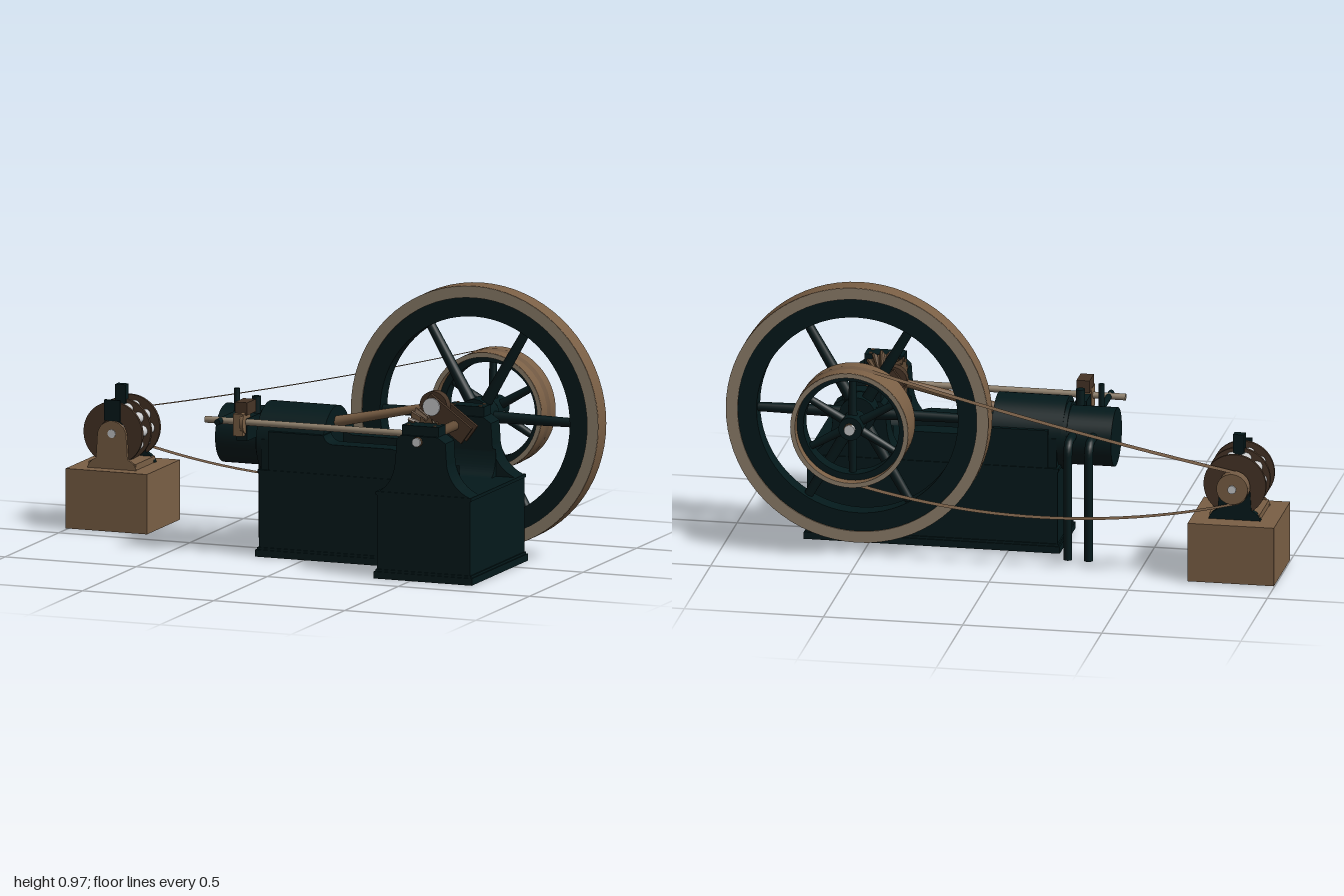
import * as THREE from 'three';

const mat = (name, color, extra = {}) => Object.assign(new THREE.MeshStandardMaterial({ color, ...extra }), { name });

export function createModel() {
  const root = new THREE.Group();
  root.name = 'stationaryEngine';
  const green = mat('dark green paint', 0x04191b);
  const brown = mat('bronze brown', 0x7a5f45);
  const tan = mat('worn tan', 0x8f806c);
  const dark = mat('dark brown iron', 0x463426);
  const silver = mat('polished steel', 0xc9cacb);
  const gearMat = mat('gear bronze', 0x604a35, { flatShading: true });
  const beltMat = mat('belt leather', 0x705842, { side: THREE.DoubleSide });

  const add = (name, geo, m, parent = root) => {
    const mesh = new THREE.Mesh(geo, m);
    mesh.name = name;
    parent.add(mesh);
    return mesh;
  };
  const group = (name, x, y, z) => {
    const g = new THREE.Group();
    g.name = name;
    g.position.set(x, y, z);
    root.add(g);
    return g;
  };
  // box given by its two extreme corners
  const box = (name, m, x0, x1, y0, y1, z0, z1, parent = root) => {
    const b = add(name, new THREE.BoxGeometry(x1 - x0, y1 - y0, z1 - z0), m, parent);
    b.position.set((x0 + x1) / 2, (y0 + y1) / 2, (z0 + z1) / 2);
    return b;
  };
  // cylinder running from point p to point q
  const rod = (name, m, p, q, r0, r1 = r0, parent = root, seg = 32) => {
    const a = new THREE.Vector3(...p), b = new THREE.Vector3(...q), d = b.clone().sub(a);
    const c = add(name, new THREE.CylinderGeometry(r1, r0, d.length(), seg), m, parent);
    c.position.copy(a).add(b).multiplyScalar(0.5);
    c.quaternion.setFromUnitVectors(new THREE.Vector3(0, 1, 0), d.normalize());
    return c;
  };
  // ring around z with a closed rectangular section
  const ring = (name, m, r0, r1, z0, z1, parent) => {
    const pts = [[r0, z0], [r1, z0], [r1, z1], [r0, z1], [r0, z0]].map(p => new THREE.Vector2(...p));
    const g = new THREE.Group();
    g.name = name;
    parent.add(g);
    for (let i = 0; i < 4; i++)
      add(name + 'Face', new THREE.LatheGeometry([pts[i], pts[i + 1]], 72).rotateX(Math.PI / 2), m, g);
  };
  const plate = (name, m, shape, z0, z1, parent = root) => {
    const p = add(name, new THREE.ExtrudeGeometry(shape, { depth: z1 - z0, bevelEnabled: false, curveSegments: 16 }), m, parent);
    p.position.z = z0;
    return p;
  };

  // L-shaped base: plinth, body and top lip
  const slab = (name, g, y0, y1) => {
    const s = new THREE.Shape([[-0.175 - g, 0.125 + g], [-0.175 - g, -0.15 - g], [0.37 - g, -0.15 - g],
      [0.37 - g, -0.38 - g], [0.725 + g, -0.38 - g], [0.725 + g, 0.125 + g]].map(p => new THREE.Vector2(...p)));
    const geo = new THREE.ExtrudeGeometry(s, { depth: y1 - y0, bevelEnabled: false }).rotateX(-Math.PI / 2);
    add(name, geo, green).position.y = y0;
  };
  slab('basePlinth', 0.01, 0, 0.025);
  slab('basePlinthStep', 0.005, 0.025, 0.033);
  slab('baseBody', 0, 0.033, 0.3);
  slab('baseLip', 0.004, 0.3, 0.312);

  // side rails of the engine bed
  for (const [z0, z1] of [[-0.125, -0.05], [0.075, 0.15]]) {
    const s = new THREE.Shape();
    s.moveTo(-0.14, 0.3);
    s.lineTo(-0.14, 0.45);
    s.lineTo(0.07, 0.45);
    s.quadraticCurveTo(0.08, 0.42, 0.11, 0.42);
    s.lineTo(0.33, 0.42);
    s.quadraticCurveTo(0.41, 0.41, 0.42, 0.3);
    plate('bedRail', green, s, z0, z1);
  }
  box('bedTrough', green, -0.14, 0.3, 0.3, 0.34, -0.06, 0.08);

  // crankshaft pedestals with bearing caps and inner fillets
  for (const [z0, z1, inner, dir] of [[0.297, 0.38, 0.298, -1], [-0.125, -0.045, -0.046, 1]]) {
    const s = new THREE.Shape();
    s.moveTo(0.37, 0.31);
    s.quadraticCurveTo(0.435, 0.34, 0.44, 0.44);
    s.lineTo(0.445, 0.505);
    s.lineTo(0.46, 0.52);
    s.lineTo(0.6, 0.52);
    s.lineTo(0.63, 0.5);
    s.lineTo(0.635, 0.42);
    s.quadraticCurveTo(0.65, 0.34, 0.725, 0.31);
    plate('bearingPedestal', green, s, z0, z1);
    const f = new THREE.Shape();
    f.moveTo(inner, 0.31);
    f.lineTo(inner + dir * 0.05, 0.31);
    f.quadraticCurveTo(inner + dir * 0.008, 0.325, inner, 0.41);
    const fillet = new THREE.ExtrudeGeometry(f, { depth: 0.22, bevelEnabled: false }).rotateY(-Math.PI / 2);
    add('pedestalFillet', fillet, green).position.x = 0.65;
    box('bearingCap', green, 0.46, 0.6, 0.515, 0.555, z0 + 0.006, z1 - 0.01);
    for (const x of [0.48, 0.58]) for (const z of [z0 + 0.02, z1 - 0.024])
      rod('capBolt', brown, [x, 0.55, z], [x, 0.558, z], 0.007, 0.007, root, 6);
  }

  // cylinder and head
  rod('cylinderBarrel', green, [-0.19, 0.405, 0.012], [0.065, 0.405, 0.012], 0.13, 0.13, root, 48);
  rod('cylinderHead', green, [-0.365, 0.405, -0.01], [-0.19, 0.405, -0.01], 0.105, 0.105, root, 48);
  rod('headFlange', green, [-0.205, 0.405, -0.005], [-0.185, 0.405, -0.005], 0.115, 0.115, root, 48);
  box('barrelSaddle', green, -0.17, 0.06, 0.3, 0.42, -0.12, 0.145);

  // intake and exhaust pipes
  for (const x of [-0.3, -0.225]) {
    const path = new THREE.CurvePath();
    const v = (y, z) => new THREE.Vector3(x, y, z);
    path.add(new THREE.LineCurve3(v(0.43, -0.08), v(0.43, -0.15)));
    path.add(new THREE.QuadraticBezierCurve3(v(0.43, -0.15), v(0.43, -0.193), v(0.385, -0.193)));
    path.add(new THREE.LineCurve3(v(0.385, -0.193), v(0, -0.193)));
    add('pipe', new THREE.TubeGeometry(path, 48, 0.016, 16), green);
  }

  // valve gear on the head
  rod('valveStem', green, [-0.3, 0.46, 0.05], [-0.3, 0.578, 0.05], 0.011);
  rod('valveLever', green, [-0.3, 0.487, 0.03], [-0.3, 0.487, 0.235], 0.011);
  rod('valveSpring', green, [-0.225, 0.46, 0.05], [-0.225, 0.555, 0.05], 0.016);
  box('sideShaftBracket', green, -0.24, -0.2, 0.42, 0.5, 0.08, 0.2);
  box('sideShaftBearing', brown, -0.243, -0.207, 0.44, 0.52, 0.165, 0.225);
  box('rockerBlock', dark, -0.242, -0.195, 0.515, 0.56, 0.13, 0.21);
  rod('camDisc', brown, [-0.215, 0.487, 0.195], [-0.203, 0.487, 0.195], 0.04);

  // side shaft, crankshaft and bevel gears
  rod('sideShaft', tan, [-0.36, 0.487, 0.195], [0.47, 0.49, 0.195], 0.012);
  rod('crankshaft', gearMat, [0.525, 0.5, 0.39], [0.525, 0.5, 0.04], 0.018);
  rod('crankshaftRear', gearMat, [0.525, 0.5, -0.01], [0.525, 0.5, -0.39], 0.018);
  rod('shaftEnd', silver, [0.525, 0.5, 0.385], [0.525, 0.5, 0.396], 0.016);
  const bevelGear = (name, p, q, r0, r1, teeth) => {
    const gear = rod(name, gearMat, p, q, r0, r1, root, teeth * 4);
    const pos = gear.geometry.attributes.position;
    for (let i = 0; i < pos.count; i++) {
      const k = Math.round((Math.atan2(pos.getZ(i), pos.getX(i)) / (2 * Math.PI) + 1) * teeth * 4) % 4;
      const f = k < 2 ? 1 : 0.82;
      pos.setXYZ(i, pos.getX(i) * f, pos.getY(i), pos.getZ(i) * f);
    }
    gear.geometry.computeVertexNormals();
  };
  bevelGear('sideShaftGear', [0.44, 0.485, 0.195], [0.485, 0.485, 0.195], 0.1, 0.07, 16);
  bevelGear('crankshaftGear', [0.525, 0.5, 0.297], [0.525, 0.5, 0.25], 0.075, 0.035, 14);

  // crank webs, pin and connecting rod
  for (const z of [-0.014, 0.036]) {
    const web = box('crankWeb', dark, -0.06, 0.135, -0.035, 0.035, -0.007, 0.007);
    web.position.set(0.493, 0.522, z);
    web.rotation.z = Math.atan2(0.062, -0.085);
  }
  rod('crankPin', silver, [0.44, 0.562, -0.022], [0.44, 0.562, 0.044], 0.022);
  rod('rodBigEnd', dark, [0.44, 0.562, -0.006], [0.44, 0.562, 0.028], 0.052);
  rod('rodBigEndCap', silver, [0.44, 0.562, 0.043], [0.44, 0.562, 0.049], 0.032);
  rod('connectingRod', brown, [0.05, 0.475, 0.015], [0.42, 0.556, 0.015], 0.02, 0.014);

  // spoked wheel around z
  const spokes = (parent, r, thick, turn) => {
    for (let i = 0; i < 6; i++) {
      const a = turn + i * Math.PI / 3, c = Math.cos(a), s = Math.sin(a);
      rod('spoke', green, [c * 0.03, s * 0.03, 0], [c * r, s * r, 0], thick, thick * 0.75, parent, 16);
    }
  };
  const fly = group('flywheel', 0.527, 0.497, -0.182);
  ring('flywheelTread', brown, 0.43, 0.472, -0.037, 0.037, fly);
  for (const z of [-0.039, 0.037]) ring('flywheelEdge', tan, 0.43, 0.471, z, z + 0.002, fly);
  ring('flywheelRim', green, 0.362, 0.431, -0.034, 0.034, fly);
  spokes(fly, 0.37, 0.022, 0);
  rod('flywheelHub', green, [0, 0, -0.037], [0, 0, 0.037], 0.065, 0.065, fly);

  // belt pulley
  const pulley = group('beltPulley', 0.522, 0.497, -0.33);
  ring('pulleyTread', brown, 0.195, 0.212, -0.065, 0.065, pulley);
  for (const z of [-0.067, 0.065]) ring('pulleyEdge', tan, 0.195, 0.211, z, z + 0.002, pulley);
  ring('pulleyRim', green, 0.172, 0.196, -0.03, 0.03, pulley);
  spokes(pulley, 0.18, 0.017, Math.PI / 6);
  rod('pulleyHub', green, [0, 0, -0.05], [0, 0, 0.05], 0.042, 0.042, pulley);
  rod('pulleyHubCap', silver, [0, 0, -0.066], [0, 0, -0.05], 0.019, 0.019, pulley);

  // drive belt: sagging ribbon between the two pulleys
  const pts = [];
  const arc = (x, y, r, a0, a1) => {
    for (let i = 0; i <= 16; i++) {
      const a = a0 + (a1 - a0) * i / 16;
      pts.push([x + r * Math.cos(a), y + r * Math.sin(a)]);
    }
  };
  const sag = (x0, y0, x1, y1, d) => {
    for (let i = 1; i < 24; i++) {
      const t = i / 24;
      pts.push([x0 + (x1 - x0) * t, y0 + (y1 - y0) * t - 4 * d * t * (1 - t)]);
    }
  };
  arc(0.522, 0.497, 0.2135, -1.5, 1.78);
  sag(0.478, 0.706, -0.858, 0.402, 0.014);
  arc(-0.845, 0.345, 0.058, 1.8, 4.6);
  sag(-0.852, 0.287, 0.537, 0.284, 0.09);
  pts.push(pts[0]);
  const verts = [], idx = [];
  pts.forEach(([x, y], i) => {
    verts.push(x, y, -0.347, x, y, -0.313);
    if (i) idx.push(2 * i - 2, 2 * i, 2 * i - 1, 2 * i - 1, 2 * i, 2 * i + 1);
  });
  const ribbon = new THREE.BufferGeometry();
  ribbon.setAttribute('position', new THREE.Float32BufferAttribute(verts, 3));
  ribbon.setIndex(idx.reverse());
  ribbon.computeVertexNormals();
  add('driveBelt', ribbon, beltMat);

  // dynamo on its block
  box('dynamoBlock', brown, -1, -0.69, 0.005, 0.22, -0.375, -0.065);
  const dyn = group('dynamo', -0.845, 0.347, 0);
  for (const z of [-0.3, -0.217, -0.138]) ring('dynamoRing', dark, 0.05, 0.112, z, z + 0.012, dyn);
  for (let i = 0; i < 10; i++) {
    const a = i * Math.PI / 5, x = 0.08 * Math.cos(a), y = 0.08 * Math.sin(a);
    rod('coil', silver, [x, y, -0.272], [x, y, -0.155], 0.02, 0.02, dyn, 20);
    rod('coilCore', dark, [x, y, -0.295], [x, y, -0.13], 0.012, 0.012, dyn, 12);
  }
  rod('dynamoShaft', silver, [0, 0, -0.358], [0, 0, -0.112], 0.015, 0.015, dyn);
  rod('dynamoPulley', brown, [0, 0, -0.352], [0, 0, -0.308], 0.056, 0.056, dyn);
  const foot = new THREE.Shape();
  foot.moveTo(-0.093, -0.127);
  foot.lineTo(0.093, -0.127);
  foot.quadraticCurveTo(0.09, -0.105, 0.06, -0.09);
  foot.lineTo(0.055, -0.01);
  foot.absarc(0, -0.01, 0.055, 0, Math.PI);
  foot.lineTo(-0.06, -0.09);
  foot.quadraticCurveTo(-0.09, -0.105, -0.093, -0.127);
  plate('dynamoFrontFrame', brown, foot, -0.126, -0.115, dyn);
  plate('dynamoRearFrame', green, foot, -0.305, -0.285, dyn);
  box('dynamoBed', brown, -0.09, 0.09, -0.127, -0.105, -0.3, -0.12, dyn);
  box('terminalPost', green, -0.02, 0.02, 0.05, 0.163, -0.225, -0.195, dyn);
  box('terminalBracket', green, -0.03, 0.03, 0.045, 0.12, -0.127, -0.118, dyn);
  return root;
}
